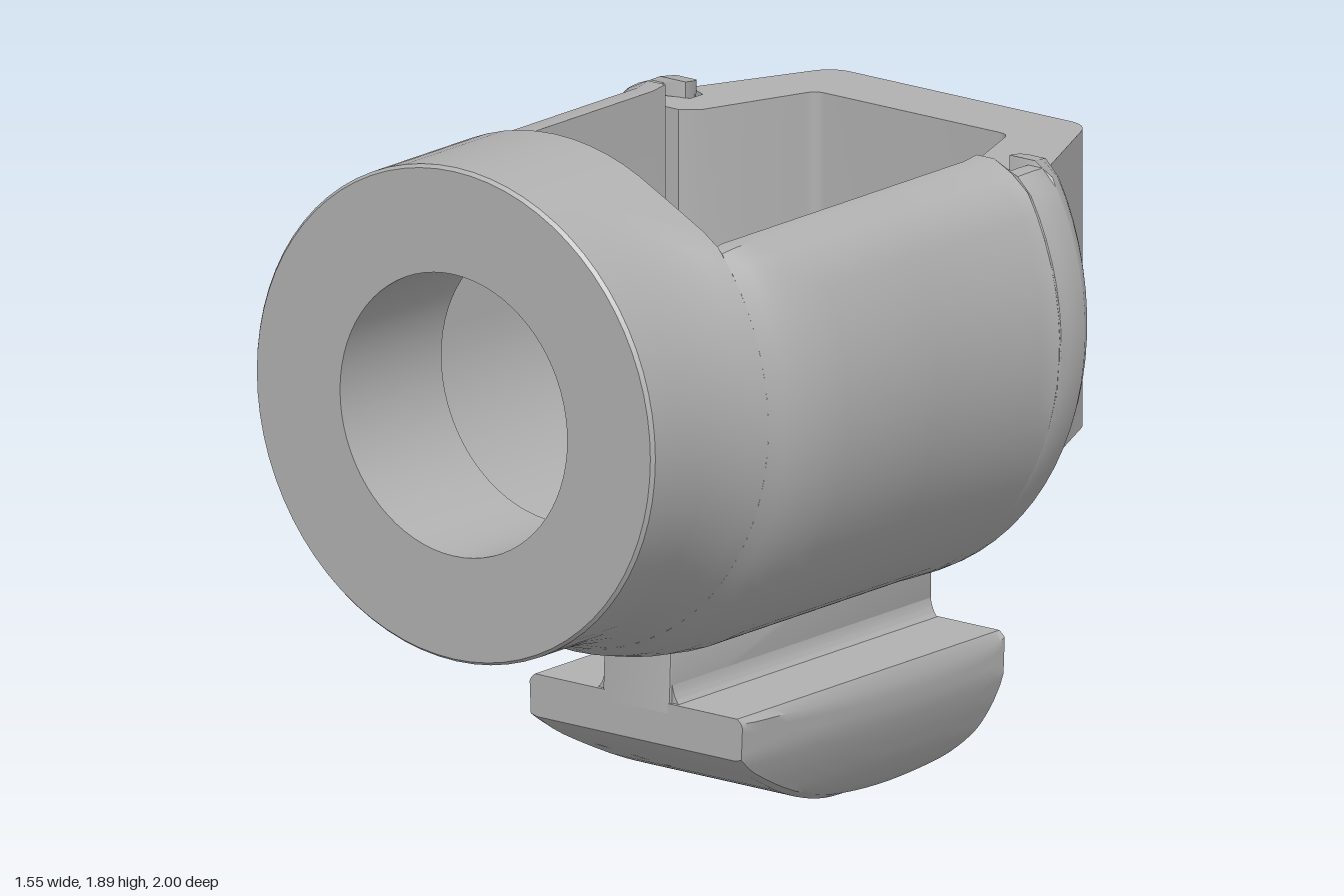
import * as THREE from 'three';
import { mergeVertices, toCreasedNormals } from 'three/addons/utils/BufferGeometryUtils.js';

const grey = new THREE.MeshStandardMaterial({ color: 0xb0b0b0 });
grey.name = 'lightGrey';
const CY = 1.25; // height of the barrel axis
const rad = THREE.MathUtils.degToRad;

function mesh(name, geo, crease = 0.6) {
  const g = geo.index ? geo : mergeVertices(geo);
  const m = new THREE.Mesh(toCreasedNormals(g, crease), grey);
  m.name = name;
  return m;
}

// Skin a list of closed loops; optional flat caps on the first and last loop
function skin(rows, { ring = false, front = false, back = false } = {}) {
  const n = rows[0].length, idx = [];
  const count = ring ? rows.length : rows.length - 1;
  for (let i = 0; i < count; i++) {
    const k = (i + 1) % rows.length;
    for (let j = 0; j < n; j++) {
      const l = (j + 1) % n;
      const a = i * n + j, b = i * n + l, c = k * n + j, d = k * n + l;
      idx.push(a, c, b, c, d, b);
    }
  }
  const cap = (i, flip) => {
    const flat = rows[i].map(p => new THREE.Vector2(p[0], p[1]));
    for (const [a, b, c] of THREE.ShapeUtils.triangulateShape(flat, [])) {
      idx.push(i * n + a, i * n + (flip ? c : b), i * n + (flip ? b : c));
    }
  };
  if (front) cap(0, false);
  if (back) cap(rows.length - 1, true);
  const g = new THREE.BufferGeometry();
  g.setAttribute('position', new THREE.Float32BufferAttribute(rows.flat(2), 3));
  g.setIndex(idx);
  return g;
}

// Linear lookup in a table of [key, value] with falling keys
function lookup(table, z) {
  for (let i = 1; i < table.length; i++) {
    const [z0, v0] = table[i - 1], [z1, v1] = table[i];
    if (z >= z1) return v0 + (v1 - v0) * (z0 - z) / (z0 - z1);
  }
  return table[table.length - 1][1];
}

// Outer radius of the barrel, flattened at the upper shoulders
const radii = [[1, 0.632], [0.99, 0.64], [0.8, 0.64], [0.7, 0.655], [0.6, 0.685], [0.52, 0.72],
  [0.44, 0.74], [0.36, 0.75], [-0.57, 0.75], [-0.61, 0.735], [-0.63, 0.705]];
function outer(phi, z) {
  const t = Math.acos(Math.cos(phi)), s = rad(27.4);
  const limit = t < s ? 0.64 : t < s + 1.2 ? 0.64 / Math.cos(t - s) : 9;
  const bulge = 0.025 * Math.sin(t) ** 2 * Math.max(0, 1 - ((z + 0.51) / 0.1) ** 2);
  const r = Math.min(lookup(radii, z), limit) + bulge;
  return [r * Math.sin(phi), CY + r * Math.cos(phi), z];
}

// Front collar with its round bore
function collar() {
  const N = 72;
  const loop = f => Array.from({ length: N }, (_, j) => f(-j / N * Math.PI * 2));
  const bore = z => loop(p => [0.365 * Math.sin(p), CY + 0.365 * Math.cos(p), z]);
  const zs = [1, 0.99, 0.9, 0.8, 0.75, 0.7, 0.65, 0.6];
  return skin([bore(0.6), bore(1), ...zs.map(z => loop(p => outer(p, z)))], { ring: true });
}

// Open-topped barrel: rows of [z, wall half width, floor radius, rim angle]
function barrel() {
  const rows = [0.6, 0.56, 0.52, 0.48, 0.44, 0.36, 0, -0.4, -0.45].map(z => [z, 0.5, 0.5, 51.5]);
  rows.push([-0.455, 0.585, 0.57, 57], [-0.48, 0.585, 0.58, 57], [-0.51, 0.585, 0.58, 57],
    [-0.55, 0.585, 0.585, 57], [-0.555, 0.52, 0.59, 55], [-0.59, 0.52, 0.6, 55],
    [-0.61, 0.53, 0.61, 55], [-0.63, 0.55, 0.63, 57]);
  return skin(rows.map(([z, w, f, rim]) => {
    const pts = [], n = 56;
    for (let j = 0; j <= n; j++) pts.push(outer(-rad(rim + (360 - 2 * rim) * j / n), z));
    const top = pts[0][1];
    pts.push([w, top, z]);
    for (let j = 0; j <= 32; j++) {
      const a = j / 32 * Math.PI;
      pts.push([w * Math.cos(a), CY - f * Math.sin(a), z]);
    }
    pts.push([-w, top, z]);
    // the rear end leans forward towards the bottom
    const lean = 0.045 * Math.min(1, Math.max(0, (-0.5 - z) / 0.1));
    return pts.map(([x, y, q]) => [x, y, q + lean * Math.max(0, 1.6 - y) / 1.1]);
  }), { back: true });
}

// Rear clip: a bent strip with hooked ends
function clip() {
  const s = new THREE.Shape();
  s.moveTo(-0.35, 1);
  s.lineTo(0.35, 1);
  s.quadraticCurveTo(0.41, 1, 0.435, 0.94);
  for (const p of [[0.575, 0.64], [0.51, 0.61], [0.51, 0.56], [0.58, 0.54], [0.58, 0.465], [0.47, 0.465],
    [0.425, 0.5], [0.32, 0.78]]) s.lineTo(...p);
  s.quadraticCurveTo(0.31, 0.81, 0.28, 0.81);
  s.lineTo(-0.28, 0.81);
  s.quadraticCurveTo(-0.31, 0.81, -0.32, 0.78);
  for (const p of [[-0.425, 0.5], [-0.47, 0.465], [-0.58, 0.465], [-0.58, 0.54], [-0.51, 0.56], [-0.51, 0.61],
    [-0.575, 0.64], [-0.435, 0.94]]) s.lineTo(...p);
  s.quadraticCurveTo(-0.41, 1, -0.35, 1);
  const g = new THREE.ExtrudeGeometry(s, { depth: 0.77, bevelEnabled: false, curveSegments: 8 });
  g.rotateX(-Math.PI / 2).translate(0, 0.86, 0);
  g.deleteAttribute('uv');
  g.deleteAttribute('normal');
  return g;
}

// Stem joining the barrel to the foot, cut from its side outline
function stem() {
  const s = new THREE.Shape([[-0.275, 0.34], [0.75, 0.34], [0.75, 0.63], [0.735, 0.66], [0.7, 0.705], [0.67, 0.715],
    [0.59, 0.715], [0.56, 0.6], [-0.265, 0.6]].map(p => new THREE.Vector2(...p)));
  const g = new THREE.ExtrudeGeometry(s, { depth: 0.2, bevelSize: 0.006, bevelThickness: 0.008, bevelSegments: 2 });
  // outline runs along -z, thickness along x
  g.rotateY(Math.PI / 2).translate(-0.1, 0, 0);
  g.deleteAttribute('uv');
  g.deleteAttribute('normal');
  return g;
}

// Fillets where the stem meets the foot
function fillet(side) {
  const s = new THREE.Shape();
  s.moveTo(0.1, 0.35);
  s.lineTo(0.145, 0.35);
  s.quadraticCurveTo(0.112, 0.362, 0.106, 0.42);
  s.lineTo(0.1, 0.42);
  const g = new THREE.ExtrudeGeometry(s, { depth: 1.02, bevelEnabled: false });
  g.translate(0, 0, -0.75);
  if (side < 0) g.rotateY(Math.PI).translate(0, 0, -0.48);
  g.deleteAttribute('uv');
  g.deleteAttribute('normal');
  return g;
}

// Keel-shaped foot, wide on top and rounded below
function foot() {
  const halfW = [[0.36, 0.325], [0.345, 0.342], [0.25, 0.338], [0.18, 0.315], [0.1, 0.28], [0.05, 0.25],
    [0.02, 0.222], [0, 0.17]];
  const keel = new THREE.SplineCurve([[0.28, 0.25], [0.2, 0.19], [0, 0.09], [-0.2, 0.027], [-0.4, 0.003], [-0.56, 0.015],
    [-0.67, 0.05], [-0.73, 0.11], [-0.755, 0.21]].map(p => new THREE.Vector2(...p)));
  const rows = keel.getPoints(32).map(({ x: z, y: low }) => {
    const right = [];
    for (let j = 0; j <= 12; j++) {
      const y = low + (0.36 - low) * (j / 12) ** 1.2;
      right.push([lookup(halfW, y) - (j === 0 ? 0.02 : 0), y, z]);
    }
    const left = right.map(([x, y, q]) => [-x, y, q]).reverse();
    return [...right, ...left];
  });
  return skin(rows, { front: true, back: true });
}

export function createModel() {
  const group = new THREE.Group();
  group.name = 'clipOnHolder';
  group.add(
    mesh('collar', collar()),
    mesh('barrel', barrel()),
    mesh('rearClip', clip()),
    mesh('stem', stem()),
    mesh('leftFillet', fillet(1)),
    mesh('rightFillet', fillet(-1)),
    mesh('foot', foot(), 0.7),
  );
  return group;
}
